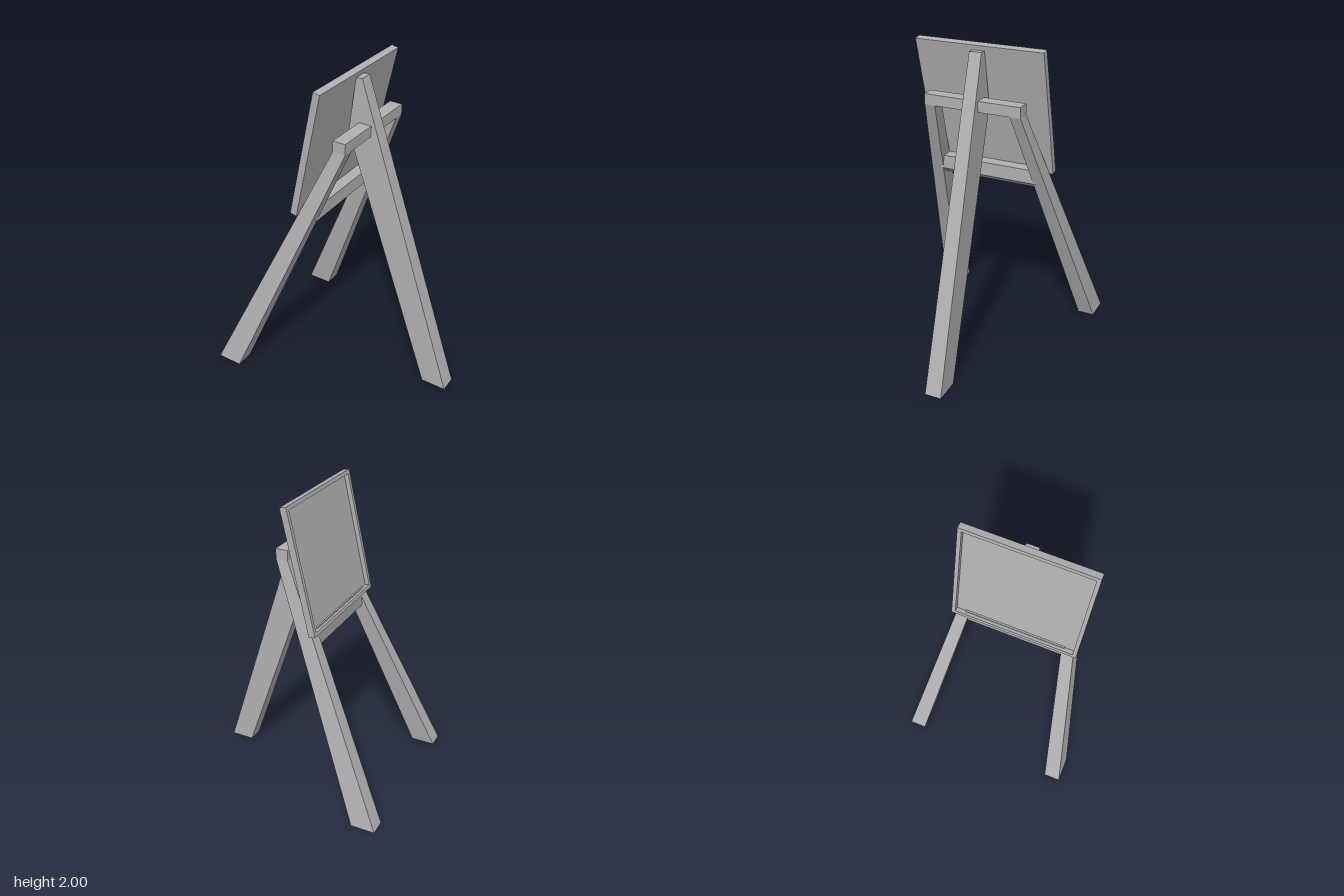
import * as THREE from 'three';

const grey = new THREE.MeshStandardMaterial({ color: 0xb0b0b0 });
grey.name = 'plain grey';

// Solid lofted through rectangular sections [y, x0, x1, zBack, zFront], bottom to top
function beam(name, sections) {
  const pos = [];
  const rings = sections.map(([y, x0, x1, zb, zf]) => [
    [x0, y, zf], [x1, y, zf], [x1, y, zb], [x0, y, zb]]);
  const quad = (a, b, c, d) => pos.push(...a, ...b, ...c, ...a, ...c, ...d);
  for (let i = 0; i < rings.length - 1; i++) {
    for (let k = 0; k < 4; k++) {
      const n = (k + 1) % 4;
      quad(rings[i][k], rings[i][n], rings[i + 1][n], rings[i + 1][k]);
    }
  }
  const [a, b, c, d] = rings[0];
  quad(d, c, b, a);
  quad(...rings[rings.length - 1]);
  const g = new THREE.BufferGeometry();
  g.setAttribute('position', new THREE.Float32BufferAttribute(pos, 3));
  g.computeVertexNormals();
  return named(name, g);
}

function named(name, geometry) {
  const m = new THREE.Mesh(geometry, grey);
  m.name = name;
  return m;
}

function box(name, w, h, d, x, y, z) {
  const m = named(name, new THREE.BoxGeometry(w, h, d));
  m.position.set(x, y, z);
  return m;
}

export function createModel() {
  const model = new THREE.Group();
  model.name = 'easel';

  // The easel is built facing +z, then turned on its stand
  const easel = new THREE.Group();
  easel.name = 'turnedEasel';
  easel.rotation.y = -Math.PI * 2 / 3;
  easel.position.set(-0.065, 0, 0.1126);
  model.add(easel);

  // Two splayed, tapered front legs
  for (const s of [-1, 1]) {
    const span = (a, b) => (s > 0 ? [a, b] : [-b, -a]);
    easel.add(beam(s > 0 ? 'frontLegLeft' : 'frontLegRight', [
      [0, ...span(0.476, 0.586), 0.308, 0.471],
      [1.625, ...span(0.243, 0.311), -0.335, -0.254],
    ]));
  }

  // Rear leg, bent near the top to lie along the board
  easel.add(beam('rearLeg', [
    [0, -0.054, 0.054, -0.925, -0.766],
    [1.62, -0.042, 0.042, -0.384, -0.185],
    [1.96, -0.039, 0.039, -0.27, -0.23],
  ]));

  // Upper crossbar joining the leg tops
  easel.add(box('upperCrossbar', 0.622, 0.067, 0.081, 0, 1.658, -0.2945));

  // Lower crossbar with a chamfered rear underside
  const section = new THREE.Shape([
    [0.15, 1.232], [0.05, 1.232], [0.05, 1.1], [0.09, 1.1], [0.15, 1.145],
  ].map(([d, y]) => new THREE.Vector2(d, y)));
  const lower = new THREE.ExtrudeGeometry(section, { depth: 0.65, bevelEnabled: false });
  lower.translate(0, 0, -0.325);
  lower.rotateY(Math.PI / 2);
  easel.add(named('lowerCrossbar', lower));

  // Tilted board: raised frame around a recessed panel
  const board = new THREE.Group();
  board.name = 'board';
  board.position.set(0, 1.205, -0.024);
  board.rotation.x = -Math.atan2(0.173, 0.795);
  easel.add(board);

  const W = 0.41, H = 0.8136, T = 0.044, M = 0.025;
  const rect = (C, x, y0, y1) => new C([
    [-x, y0], [x, y0], [x, y1], [-x, y1]].map(([a, b]) => new THREE.Vector2(a, b)));
  const outline = rect(THREE.Shape, W, 0, H);
  outline.holes.push(rect(THREE.Path, W - M, M, H - M));
  const frame = new THREE.ExtrudeGeometry(outline, { depth: T, bevelEnabled: false });
  frame.translate(0, 0, -T);
  board.add(named('boardFrame', frame));
  board.add(box('boardPanel', 2 * (W - M), H - 2 * M, 0.014, 0, H / 2, -T + 0.007));

  return model;
}
